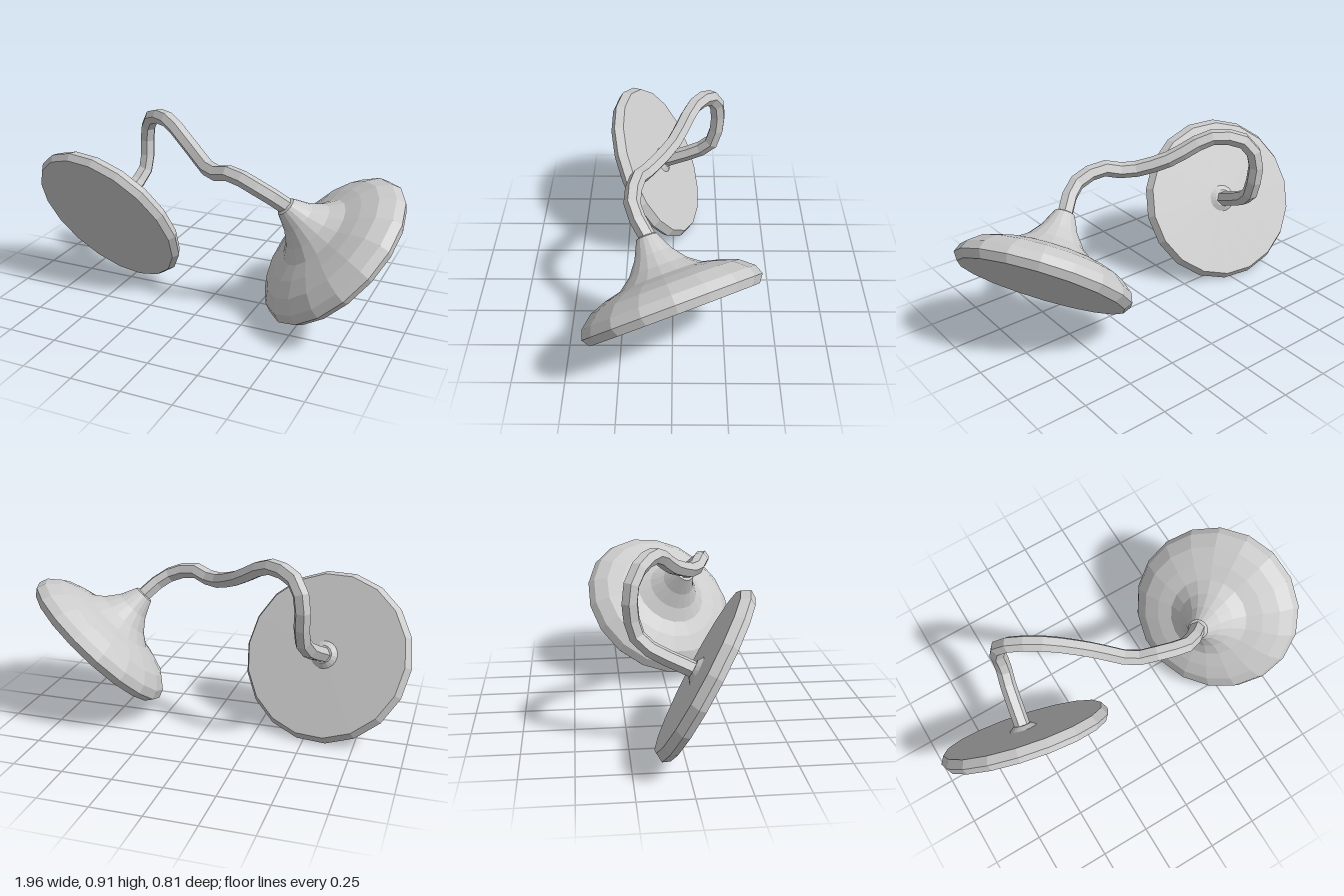
import * as THREE from 'three';

const material = new THREE.MeshStandardMaterial({ color: 0xcccccc, flatShading: true, side: THREE.DoubleSide });

// Turned part whose profile [radius, height] rises along the given axis
function turned(name, profile, sides, centre, axis) {
  const points = profile.map(([r, h]) => new THREE.Vector2(r, h));
  const mesh = new THREE.Mesh(new THREE.LatheGeometry(points, sides), material);
  mesh.name = name;
  mesh.position.set(...centre);
  mesh.quaternion.setFromUnitVectors(new THREE.Vector3(0, 1, 0), new THREE.Vector3(...axis).normalize());
  return mesh;
}

export function createModel() {
  const group = new THREE.Group();
  group.name = 'twoDiscsOnBentArm';

  // Flat disc with a small collar where the arm enters its back
  group.add(turned('flatDisc', [
    [0, -0.037], [0.415, -0.037], [0.435, -0.005], [0.412, 0.035],
    [0.07, 0.037], [0.045, 0.055], [0, 0.055],
  ], 18, [-0.565, 0.39, 0.09], [0.18, 0.46, -0.87]));

  // Trumpet-shaped disc: flat face, rounded rim, flare rising to the arm
  group.add(turned('flaredDisc', [
    [0, -0.037], [0.41, -0.037], [0.437, 0], [0.42, 0.045], [0.36, 0.095],
    [0.28, 0.125], [0.2, 0.145], [0.14, 0.19], [0.09, 0.255], [0.05, 0.34], [0, 0.36],
  ], 18, [0.627, 0.37, 0], [-0.62, 0.7, 0.35]));

  // Bent six-sided arm joining the two discs
  const path = new THREE.CatmullRomCurve3([
    [-0.56, 0.40, 0.07], [-0.515, 0.52, -0.17], [-0.5, 0.58, -0.215], [-0.5, 0.76, -0.235],
    [-0.46, 0.85, -0.2], [-0.32, 0.885, -0.11], [-0.12, 0.78, 0], [0.04, 0.725, 0.12],
    [0.16, 0.75, 0.17], [0.31, 0.7, 0.185], [0.41, 0.615, 0.12], [0.46, 0.56, 0.09],
  ].map((p) => new THREE.Vector3(...p)), false, 'centripetal');
  const arm = new THREE.Mesh(new THREE.TubeGeometry(path, 22, 0.04, 6), material);
  arm.name = 'arm';
  group.add(arm);

  return group;
}
